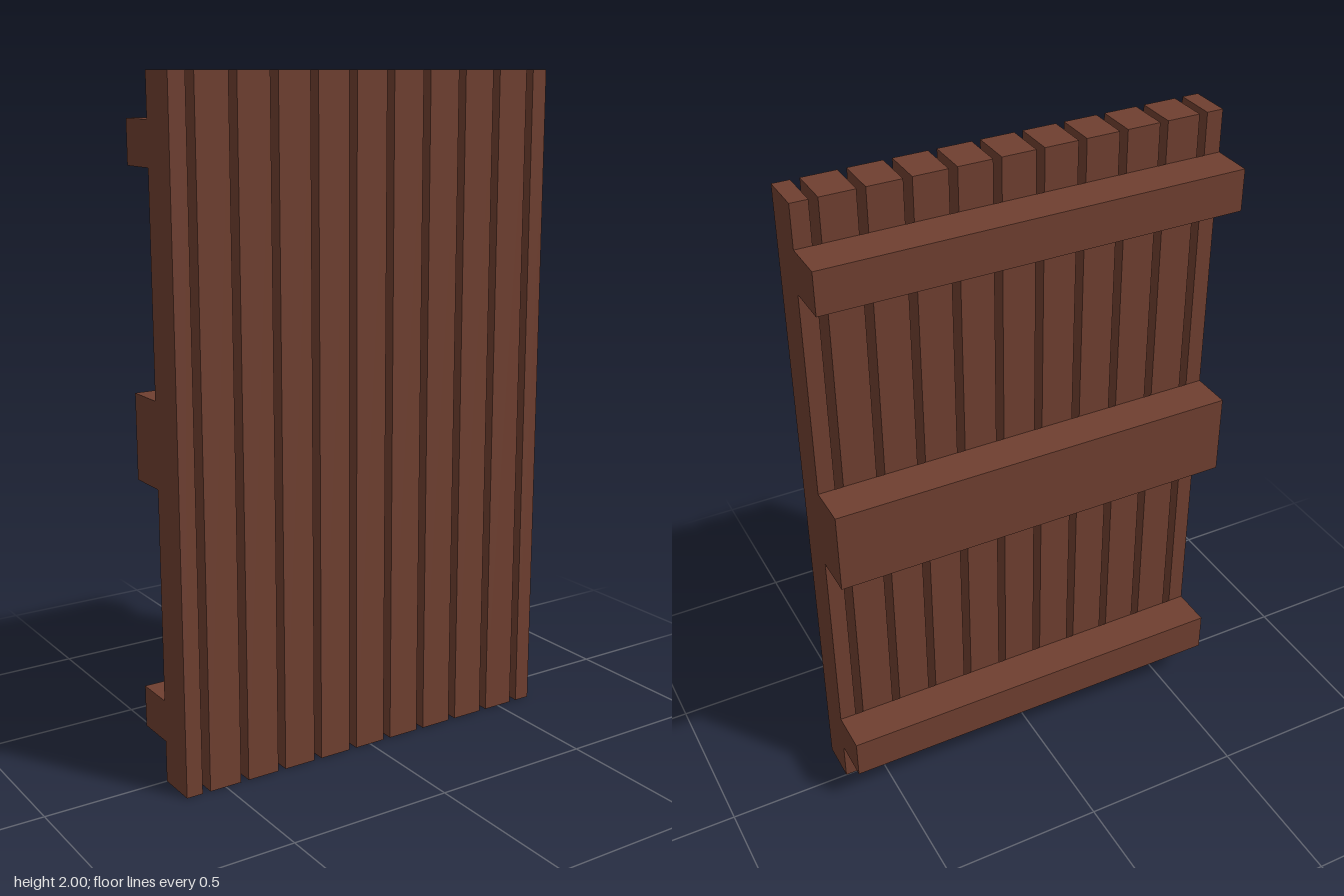
import * as THREE from 'three';

export function createModel() {
  const group = new THREE.Group();
  const wood = new THREE.MeshStandardMaterial({ color: 0x6f3f30, flatShading: true });
  const depth = 0.125;

  function addBoard(name, width, height, x, y, z) {
    const board = new THREE.Mesh(new THREE.BoxGeometry(width, height, depth), wood);
    board.name = name;
    board.position.set(x, y, z);
    group.add(board);
  }

  // Nine full-width upright slats, evenly spaced
  for (let i = -4; i <= 4; i++) addBoard('slat', 0.1, 2, i * 0.125, 1, depth / 2);

  // Half-width slats at both ends
  for (const side of [-1, 1]) addBoard('endSlat', 0.05, 2, side * 0.6, 1, depth / 2);

  // Horizontal rails across the back; the middle one is twice as tall
  addBoard('bottomRail', 1.25, 0.125, 0, 0.1875, -depth / 2);
  addBoard('middleRail', 1.25, 0.25, 0, 1, -depth / 2);
  addBoard('topRail', 1.25, 0.125, 0, 1.8125, -depth / 2);

  return group;
}
